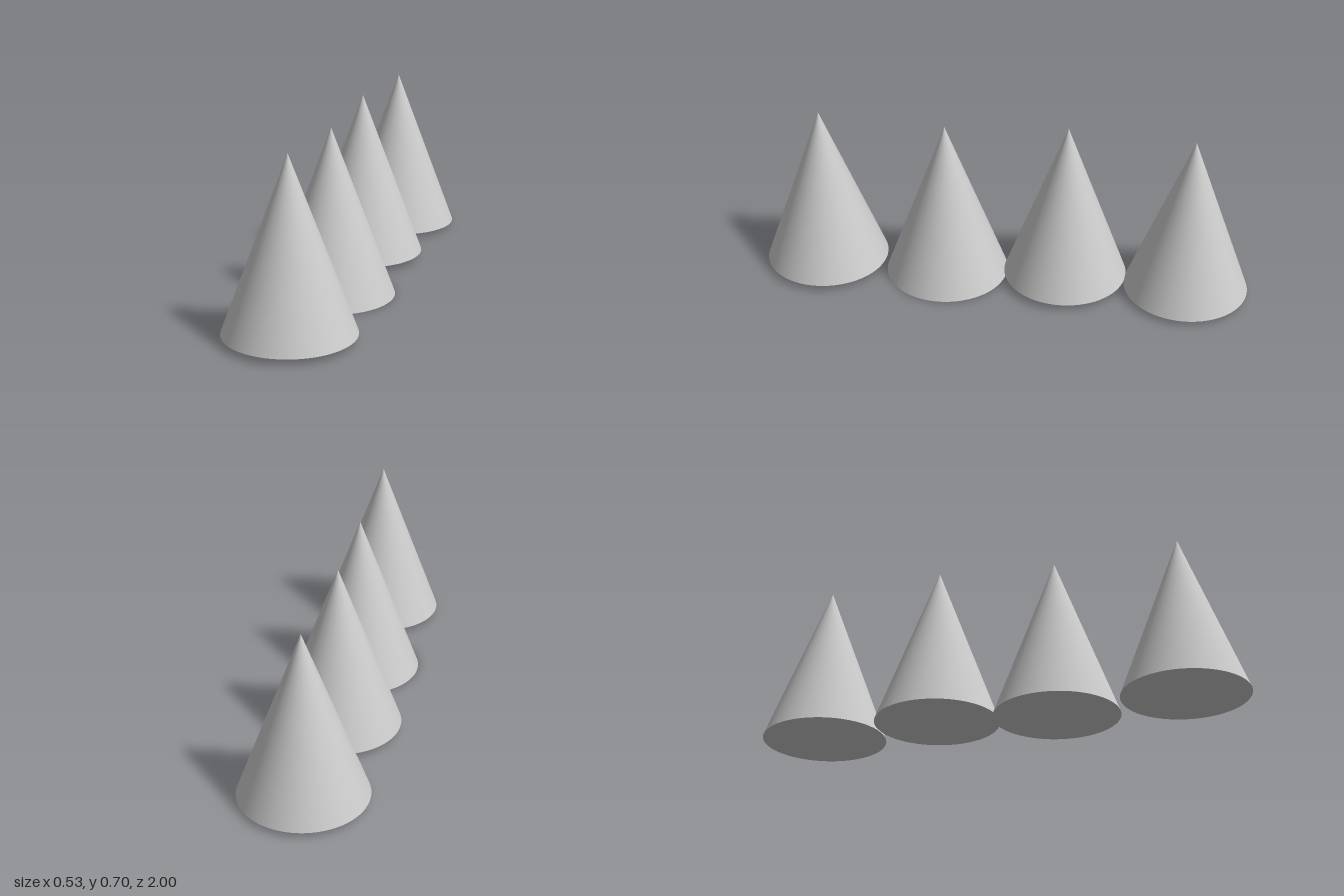
import * as THREE from 'three';

const RADIUS = 0.251;
const HEIGHT = 0.669;

// Base centre of each cone, front to back
const BASES = [
  [0.012, 0.024, 0.749],
  [0.006, 0, 0.239],
  [-0.014, 0.026, -0.252],
  [0.004, 0.019, -0.749],
];

export function createModel() {
  const model = new THREE.Group();
  model.name = 'coneRow';
  const material = new THREE.MeshStandardMaterial({ color: 0xcccccc });

  // Smooth cone with a closed base, standing on its origin
  const geometry = new THREE.ConeGeometry(RADIUS, HEIGHT, 96, 8);
  geometry.translate(0, HEIGHT / 2, 0);

  // Row of slightly uneven cones
  BASES.forEach(([x, y, z], i) => {
    const cone = new THREE.Mesh(geometry, material);
    cone.name = `cone${i + 1}`;
    cone.position.set(x, y, z);
    model.add(cone);
  });
  return model;
}
